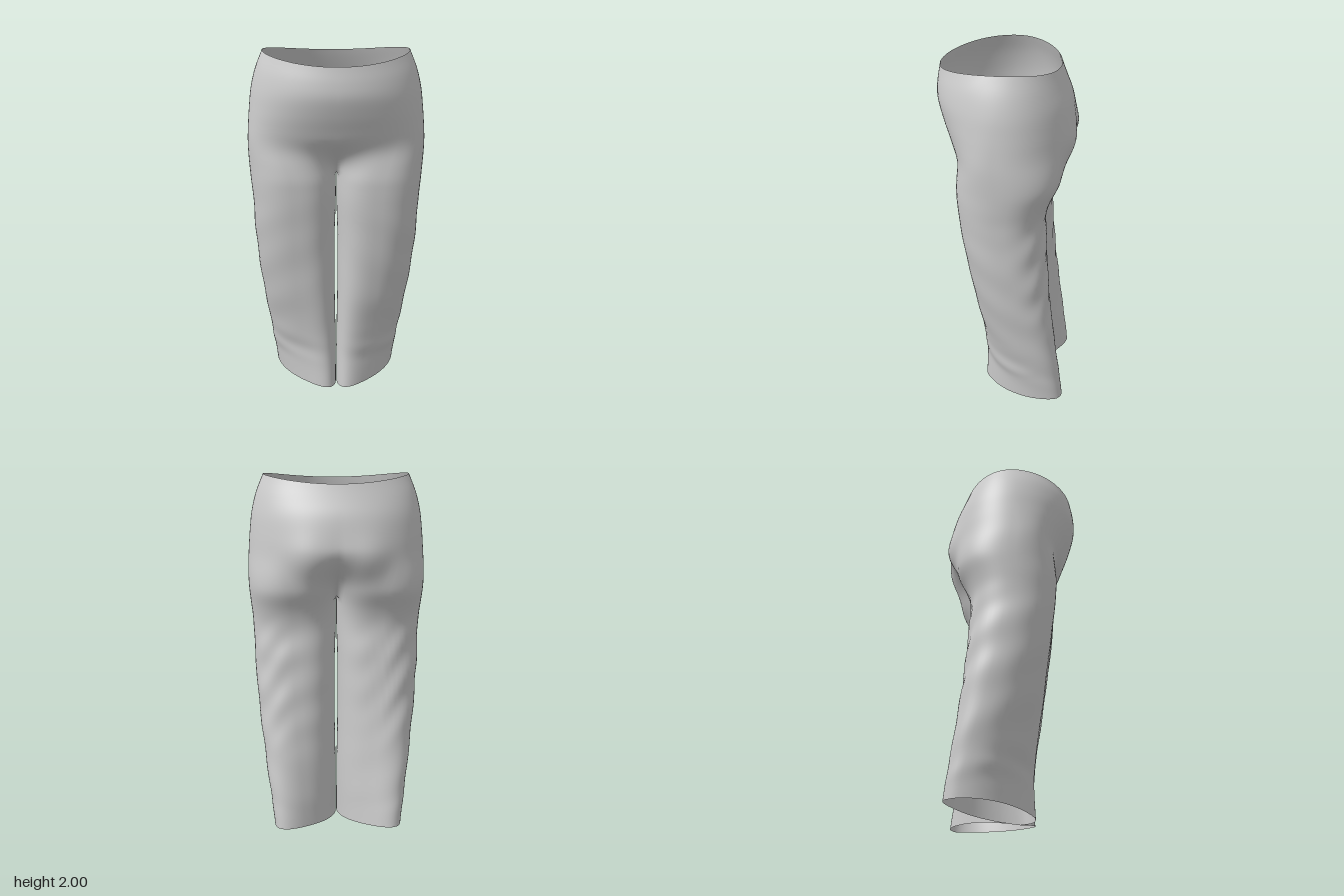
import * as THREE from 'three';
import { mergeVertices } from 'three/addons/utils/BufferGeometryUtils.js';

// Height, then outer x, front z and back z of the silhouette
const PROFILE = [
  [0.0, 0.36, 0.11, -0.34], [0.2, 0.38, 0.105, -0.32], [0.4, 0.405, 0.125, -0.295],
  [0.6, 0.43, 0.16, -0.27], [0.8, 0.45, 0.19, -0.25], [1.0, 0.463, 0.22, -0.238],
  [1.2, 0.47, 0.245, -0.232], [1.3, 0.48, 0.253, -0.262], [1.4, 0.488, 0.26, -0.322],
  [1.5, 0.49, 0.272, -0.36], [1.6, 0.485, 0.31, -0.37], [1.7, 0.477, 0.35, -0.362],
  [1.8, 0.465, 0.377, -0.345], [1.9, 0.44, 0.376, -0.315], [2.0, 0.4, 0.362, -0.283],
];
const profile = new THREE.CubicInterpolant(PROFILE.map(p => p[0]), PROFILE.flatMap(p => p.slice(1)), 3);

const ROWS = 100, CROTCH_ROW = 33; // rows run down from the waist
const CROTCH_Y = 2 - (2 * CROTCH_ROW) / ROWS;
const OUTER = 48, INNER = 14;      // columns around the outside and along the inseam
const SPLIT = 1.25;                // leg angle where outside and inseam meet
const { smoothstep, lerp } = THREE.MathUtils;
const power = (v, e) => Math.sign(v) * Math.abs(v) ** e;
const bump = (v, centre, width) => Math.exp(-(((v - centre) / width) ** 2));

function surfacePoint(row, col, side) {
  let y = 2 - (2 * row) / ROWS;
  const [outer, front, back] = profile.evaluate(y);
  const inseam = col >= OUTER;
  const t = Math.min(col / OUTER, 1);
  const k = inseam ? (col - OUTER) / INNER : 0;

  // Hip section: half an oval ending on the centre line, squarer over the thighs
  const phi = Math.PI * t;
  const c = Math.cos(phi);
  const hipX = inseam ? 0 : outer * Math.sin(phi) ** 0.97;
  const frontPower = lerp(0.62, 1.04, smoothstep(y, 1.42, 1.85));
  let hipZ = inseam ? lerp(back, front, k) : power(c, c > 0 ? frontPower : 0.95) * (c > 0 ? front : -back);
  if (c < 0 && !inseam) hipZ -= 0.024 * bump(hipX, 0.17, 0.11) * bump(y, 1.56, 0.15);

  // Leg section: a full rounded oval, slanting back on the outside toward the hem
  const gap = 0.002 + 0.007 * smoothstep(y, 0.2, 0.7) * (1 - smoothstep(y, 0.9, 1.2));
  const theta = inseam ? lerp(Math.PI + SPLIT, 2 * Math.PI - SPLIT, k) : lerp(-SPLIT, Math.PI + SPLIT, t);
  const nx = Math.sin(theta), nz = Math.cos(theta);
  const u = power(nx, nx < 0 ? 0.72 : 0.9);
  const depth = (front - back) / 2;
  const slant = 0.14 * (1 - smoothstep(y, -0.3, 1.2));
  const legX = (outer + gap) / 2 + ((outer - gap) / 2) * u;
  const legZ = (front + back) / 2 + Math.sqrt(depth ** 2 - slant ** 2) * power(nz, 0.9) - slant * u;

  // Hips turn into legs, sooner at the back than at the front
  const sFront = 1 - smoothstep(y, CROTCH_Y - 0.04, 1.57);
  const sBack = 1 - smoothstep(y, CROTCH_Y - 0.04, 1.63);
  const s = lerp(sFront, sBack, inseam ? 1 - k : t);
  let x = lerp(hipX, legX, s);
  let z = lerp(hipZ, legZ, s);
  if (row <= CROTCH_ROW && (inseam || col === 0)) x = 0;

  // Soft cloth folds on the legs
  const fade = (1 - smoothstep(y, 1.05, 1.28)) * smoothstep(y, 0.02, 0.2) * (0.5 + 0.5 * Math.max(nx, -0.8));
  const backFold = Math.max(-nz, 0) * smoothstep(y, 0.4, 0.8);
  const ankle = Math.max(nz, 0) * bump(y, 0.25, 0.08);
  const fold = fade * (0.006 * backFold * Math.sin(y * 27 + x * 24 * side + 1.5 * Math.sin(x * 14 + side))
    + 0.002 * Math.sin(y * 23 + theta * 3 + side)
    + 0.008 * ankle * Math.sin((y - 0.25) * 30 + x * 8 * side));
  x += fold * nx;
  z += fold * nz;

  // Waist dips at the centre, hem rises outward and to the back
  y -= 0.04 * Math.max(0, 1 - (x / 0.4) ** 2) * smoothstep(y, 1.75, 2);
  const rise = Math.max(x / 0.36, (0.05 - z) / 0.39, 0);
  y += 0.047 * Math.min(rise, 1) * (1 - smoothstep(y, 0, 0.3));
  return [x * side, y, z];
}

// One half of the cloth; the inseam wall exists only below the crotch
function addHalf(positions, side) {
  const cols = OUTER + INNER;
  for (let r = 0; r < ROWS; r++) {
    for (let j = 0; j < (r < CROTCH_ROW ? OUTER : cols); j++) {
      const j2 = (j + 1) % cols;
      const a = surfacePoint(r, j, side), b = surfacePoint(r + 1, j, side);
      const c = surfacePoint(r, j2, side), d = surfacePoint(r + 1, j2, side);
      const corners = side > 0 ? [a, b, c, c, b, d] : [a, c, b, c, d, b];
      corners.forEach(p => positions.push(...p));
    }
  }
}

export function createModel() {
  const positions = [];
  addHalf(positions, 1);
  addHalf(positions, -1);
  let geometry = new THREE.BufferGeometry();
  geometry.setAttribute('position', new THREE.Float32BufferAttribute(positions, 3));
  geometry = mergeVertices(geometry, 1e-4); // joins the centre seam
  geometry.computeVertexNormals();

  const trousers = new THREE.Mesh(geometry,
    new THREE.MeshStandardMaterial({ color: 0xcccccc, side: THREE.DoubleSide }));
  trousers.name = 'trousers';
  const group = new THREE.Group();
  group.name = 'trousersModel';
  group.add(trousers);
  return group;
}
